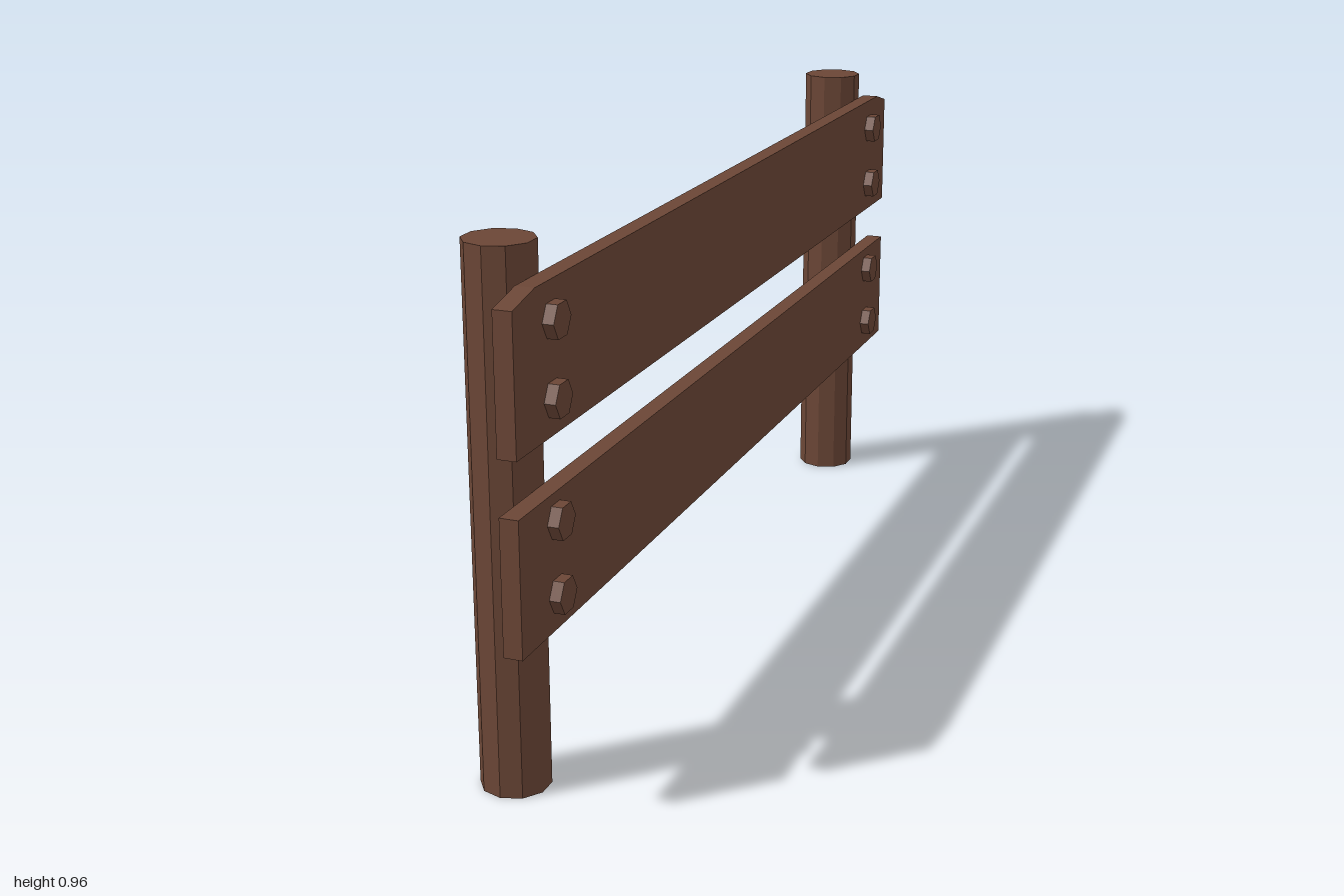
import * as THREE from 'three';

export function createModel() {
  const fence = new THREE.Group();
  fence.name = 'fence';
  const wood = new THREE.MeshStandardMaterial({ color: 0x6b4636, flatShading: true });

  const add = (name, geometry, x, y, z) => {
    const mesh = new THREE.Mesh(geometry, wood);
    mesh.name = name;
    mesh.position.set(x, y, z);
    fence.add(mesh);
  };

  // Ten-sided posts, a flat side against the planks
  const postHeight = 0.96;
  const postGeometry = new THREE.CylinderGeometry(0.062, 0.062, postHeight, 10);
  add('frontPost', postGeometry, -0.028, postHeight / 2, 0.854);
  add('backPost', postGeometry, -0.028, postHeight / 2, -0.878);

  // Upper plank with clipped top corners; outline runs along -z, then turned to face +x
  const outline = new THREE.Shape([
    [-1, 0.645], [1, 0.645], [1, 0.886], [0.935, 0.903], [-0.92, 0.903], [-1, 0.886],
  ].map(([s, y]) => new THREE.Vector2(s, y)));
  const upper = new THREE.ExtrudeGeometry(outline, { depth: 0.034, bevelEnabled: false });
  upper.rotateY(Math.PI / 2);
  add('upperPlank', upper, 0.031, 0, 0);

  // Lower plank
  add('lowerPlank', new THREE.BoxGeometry(0.034, 0.24, 2), 0.048, 0.428, 0);

  // Hexagonal bolt heads, two per plank at each post
  const boltGeometry = new THREE.CylinderGeometry(0.033, 0.033, 0.021, 6);
  boltGeometry.rotateZ(-Math.PI / 2);
  for (const z of [0.865, -0.872]) {
    for (const y of [0.839, 0.708, 0.5, 0.37]) add('bolt', boltGeometry, 0.0745, y, z);
  }

  return fence;
}
